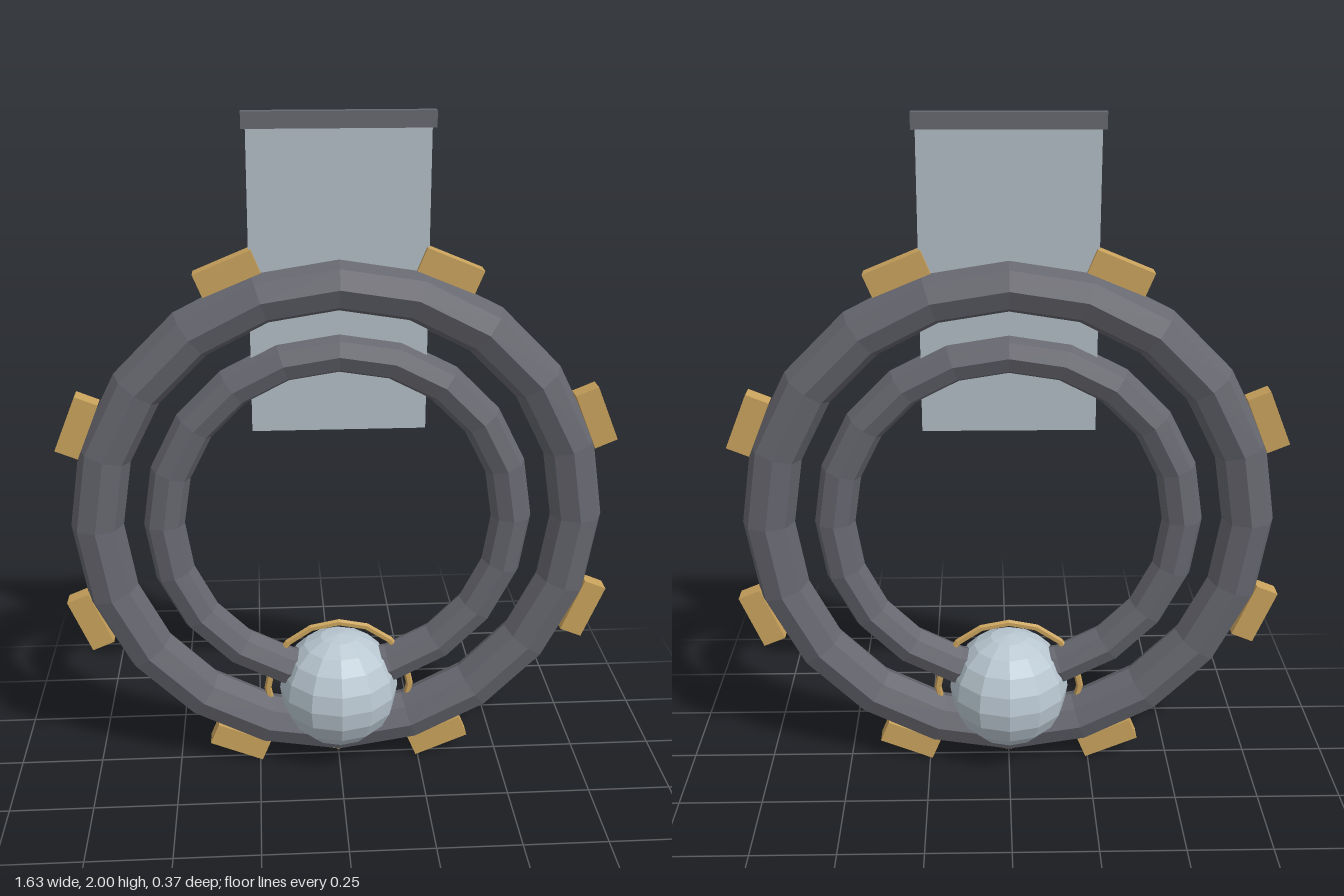
import * as THREE from 'three';

export function createModel() {
  const model = new THREE.Group();
  model.name = 'ringAmulet';
  const flat = (name, color) => {
    const m = new THREE.MeshStandardMaterial({ color, flatShading: true });
    m.name = name;
    return m;
  };
  const iron = flat('dark iron', 0x66676f);
  const brass = flat('brass', 0xc9a25c);
  const pearl = flat('pale blue grey', 0xb9c7d1);
  const glass = flat('grey glass', 0xb0bcc4);

  const add = (name, geometry, material, x, y) => {
    const mesh = new THREE.Mesh(geometry, material);
    mesh.name = name;
    mesh.position.set(x, y, 0);
    model.add(mesh);
    return mesh;
  };
  const centreY = 0.818;

  // Two concentric faceted rings
  add('outerRing', new THREE.TorusGeometry(0.712, 0.077, 8, 20), iron, 0, centreY);
  add('innerRing', new THREE.TorusGeometry(0.516, 0.06, 8, 20), iron, 0, centreY);

  // Eight blocks spaced around the outer rim
  for (let i = 0; i < 8; i++) {
    const a = (i + 0.5) * Math.PI / 4;
    const block = add('rimBlock', new THREE.BoxGeometry(0.07, 0.175, 0.055), brass,
      0.812 * Math.cos(a), centreY + 0.812 * Math.sin(a));
    block.rotation.z = a;
  }

  // Orb at the bottom with a thin hoop around it
  add('orb', new THREE.SphereGeometry(0.184, 12, 10), pearl, 0, 0.248);
  add('orbHoop', new THREE.TorusGeometry(0.222, 0.011, 6, 16), brass, 0, 0.248);

  // Hanging panel and its top bar
  add('panel', new THREE.BoxGeometry(0.5, 0.86, 0.025), glass, 0, 1.535);
  add('topBar', new THREE.BoxGeometry(0.524, 0.045, 0.035), iron, 0, 1.9775);

  return model;
}
